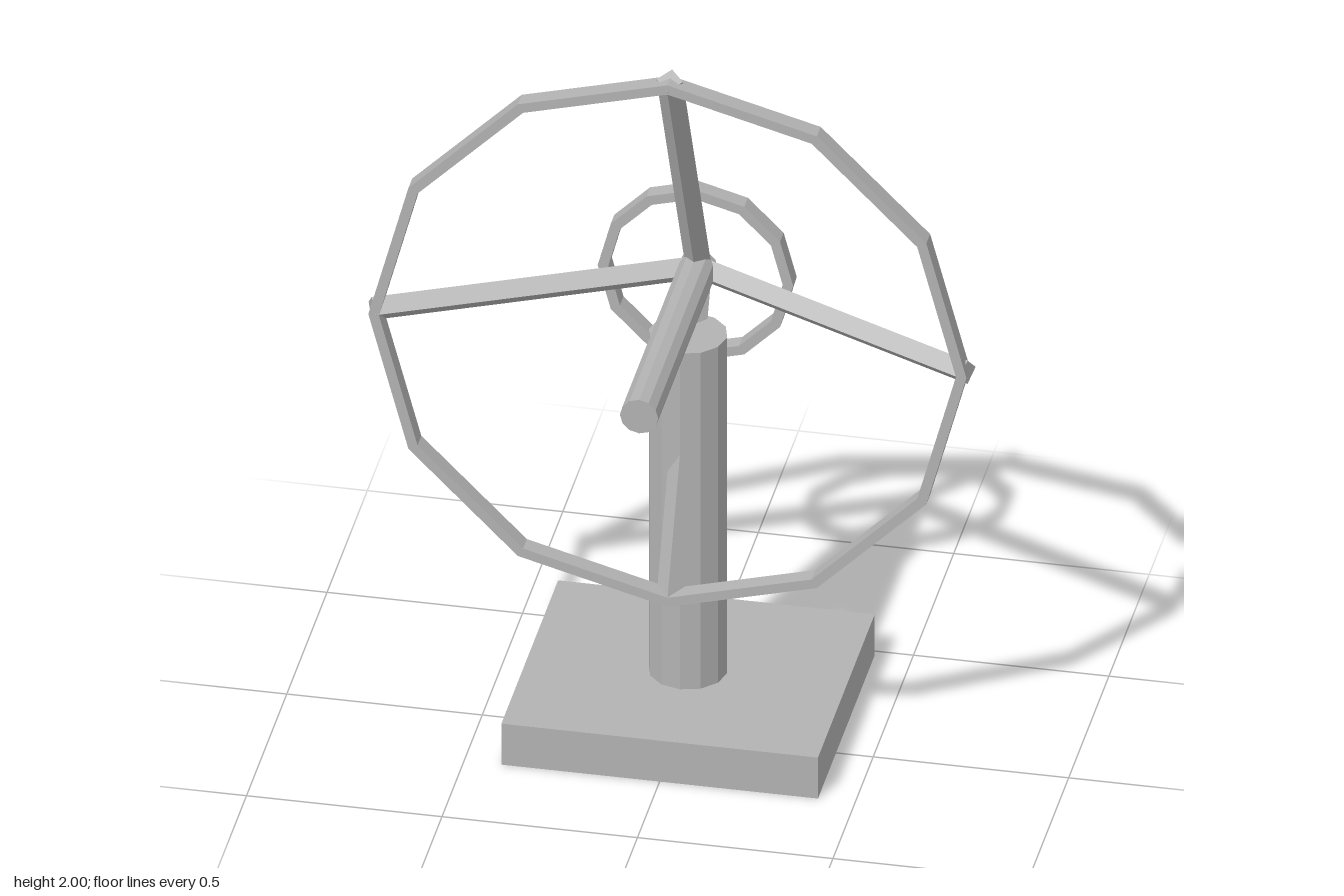
import * as THREE from 'three';

const SIDES = 12;
const HUB_Y = 1.22;

export function createModel() {
  const model = new THREE.Group();
  model.name = 'wheelOnStand';
  const grey = new THREE.MeshStandardMaterial({ color: 0xb2b2b2, flatShading: true });
  grey.name = 'plain grey';

  function add(name, geometry, x, y, z, parent = model) {
    const mesh = new THREE.Mesh(geometry, grey);
    mesh.name = name;
    mesh.position.set(x, y, z);
    parent.add(mesh);
    return mesh;
  }

  // Twelve-sided ring with a rectangular section, facing z
  function ringGeometry(outer, inner, depth) {
    const polygon = (r) => Array.from({ length: SIDES }, (_, i) => {
      const a = (i / SIDES) * Math.PI * 2;
      return new THREE.Vector2(Math.cos(a) * r, Math.sin(a) * r);
    });
    const shape = new THREE.Shape(polygon(outer));
    shape.holes.push(new THREE.Path(polygon(inner)));
    return new THREE.ExtrudeGeometry(shape, { depth, bevelEnabled: false })
      .translate(0, 0, -depth / 2);
  }

  // Stand
  add('base', new THREE.BoxGeometry(0.81, 0.12, 0.705), 0, 0.06, -0.128);
  add('column', new THREE.CylinderGeometry(0.1, 0.1, 0.99, SIDES), 0, 0.61, -0.128);

  // Shaft pointing forward from the hub
  const shaftBack = -0.26, shaftFront = 0.48;
  add('shaft', new THREE.CylinderGeometry(0.049, 0.049, shaftFront - shaftBack, SIDES),
    0, HUB_Y + 0.003, (shaftFront + shaftBack) / 2).rotation.x = Math.PI / 2;

  // Large front rim and small rear ring
  add('rim', ringGeometry(0.765, 0.738, 0.047), 0, HUB_Y, 0.105);
  add('rearRing', ringGeometry(0.25, 0.223, 0.045), 0, HUB_Y, -0.242);

  // Four diamond-section spokes slanting from the hub forward to the rim
  const hubZ = -0.26, rimZ = 0.1, reach = 0.762;
  const run = rimZ - hubZ;
  const spokeGeometry = new THREE.CylinderGeometry(0.034, 0.034, Math.hypot(reach, run), 4);
  for (let i = 0; i < 4; i++) {
    const arm = new THREE.Group();
    arm.name = 'spokeArm';
    arm.position.set(0, HUB_Y, 0);
    arm.rotation.z = i * Math.PI / 2;
    add('spoke', spokeGeometry, 0, reach / 2, (hubZ + rimZ) / 2, arm)
      .rotation.x = Math.atan2(run, reach);
    model.add(arm);
  }
  return model;
}
